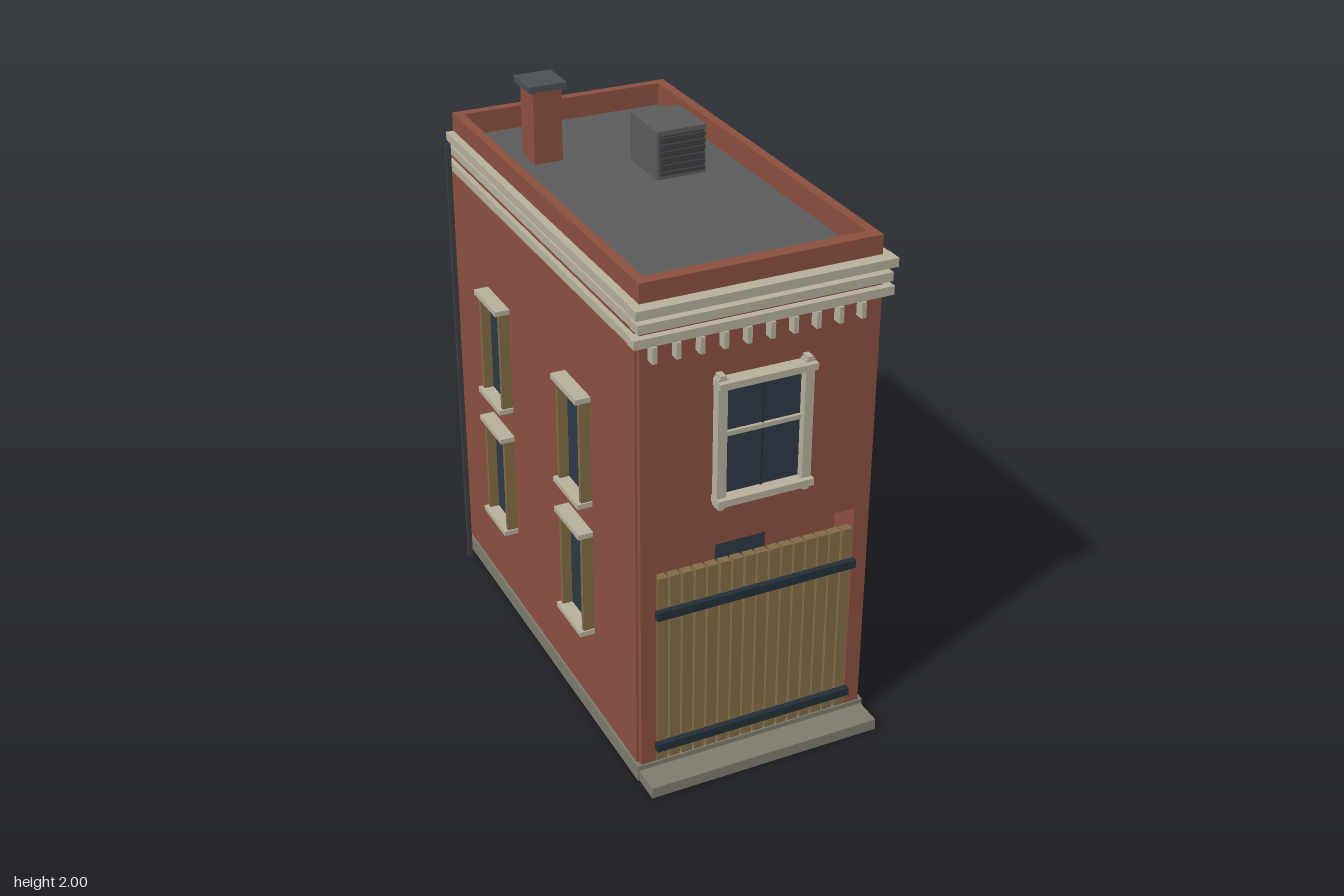
import * as THREE from 'three';

const mat = (name, hex) => {
  const m = new THREE.MeshStandardMaterial({ color: hex });
  m.name = name;
  return m;
};

export function createModel() {
  const brick = mat('brick', 0x8a5040);
  const cream = mat('cream trim', 0xb6b09c);
  const wood = mat('wood', 0x816b46);
  const glass = mat('dark glass', 0x2d3a46);
  const stone = mat('stone', 0x7e7b6e);
  const roofing = mat('roofing', 0x5b5b5b);
  const iron = mat('iron', 0x3b3d40);
  const steel = mat('blue steel', 0x242f39);
  const capGrey = mat('cap grey', 0x4c5053);

  const model = new THREE.Group();
  model.name = 'townhouse';

  // Box given by its lower and upper limits on each axis
  const box = (name, material, x0, x1, y0, y1, z0, z1, parent = model) => {
    const mesh = new THREE.Mesh(new THREE.BoxGeometry(x1 - x0, y1 - y0, z1 - z0), material);
    mesh.position.set((x0 + x1) / 2, (y0 + y1) / 2, (z0 + z1) / 2);
    mesh.name = name;
    parent.add(mesh);
    return mesh;
  };
  const group = (name) => {
    const g = new THREE.Group();
    g.name = name;
    model.add(g);
    return g;
  };
  const rect = (C, x0, x1, y0, y1) => new C([
    new THREE.Vector2(x0, y0), new THREE.Vector2(x1, y0),
    new THREE.Vector2(x1, y1), new THREE.Vector2(x0, y1),
  ]);
  const slab = (name, shape, depth, z) => {
    const geo = new THREE.ExtrudeGeometry(shape, { depth, bevelEnabled: false });
    const mesh = new THREE.Mesh(geo, brick);
    mesh.position.z = z;
    mesh.name = name;
    model.add(mesh);
    return mesh;
  };

  // Base and front step
  box('base', stone, -0.425, 0.425, 0, 0.058, -0.832, 0.735);
  box('frontStep', stone, -0.42, 0.42, 0, 0.04, 0.735, 0.835);

  // Walls
  box('core', brick, -0.405, 0.405, 0.05, 1.71, -0.8, 0.61);
  for (const s of [-1, 1]) {
    const wall = box('sideWall', brick, -0.01, 0.01, 0.05, 1.7, -0.82, 0.71);
    wall.position.x = s * 0.408;
  }

  // Front wall with gate opening
  slab('frontWall', new THREE.Shape([
    [-0.41, 0.05], [-0.355, 0.05], [-0.355, 0.845], [0.355, 0.845],
    [0.355, 0.05], [0.41, 0.05], [0.41, 1.71], [-0.41, 1.71],
  ].map(([x, y]) => new THREE.Vector2(x, y))), 0.12, 0.61);

  // Back wall with recessed windows
  const back = rect(THREE.Shape, -0.418, 0.418, 0.05, 1.7);
  for (const y of [0.38, 0.88]) {
    back.holes.push(rect(THREE.Path, -0.13, 0.13, y, y + 0.38));
    box('backGlass', glass, -0.13, 0.13, y, y + 0.38, -0.808, -0.8);
  }
  slab('backWall', back, 0.03, -0.83);

  // Parapet ring and flat roof
  const ring = rect(THREE.Shape, -0.408, 0.408, -0.725, 0.825);
  ring.holes.push(rect(THREE.Path, -0.375, 0.375, -0.68, 0.79));
  const parapet = slab('parapet', ring, 0.1, 0);
  parapet.rotation.x = -Math.PI / 2;
  parapet.position.y = 1.7;
  box('roof', roofing, -0.376, 0.376, 1.705, 1.72, -0.791, 0.681);

  // Cornice bands wrapping the front and sides
  const cornice = group('cornice');
  for (const [y, out] of [[1.605, 0.755], [1.655, 0.76], [1.705, 0.77]]) {
    const w = y === 1.655 ? 0.426 : 0.436;
    box('frontBand', cream, -w - 0.003, w + 0.003, y, y + 0.03, 0.71, out, cornice);
    box('leftBand', cream, 0.4, w, y, y + 0.03, -0.82, 0.71, cornice);
    box('rightBand', cream, -w, -0.4, y, y + 0.03, -0.82, 0.71, cornice);
  }
  for (let i = 0; i < 10; i++) {
    const x = -0.375 + i * 0.0783;
    box('dentil', cream, x - 0.008, x + 0.008, 1.55, 1.605, 0.725, 0.763, cornice);
  }

  // Upper front window
  const win = group('frontWindow');
  box('glass', glass, -0.135, 0.135, 1.03, 1.425, 0.73, 0.737, win);
  box('mullion', steel, -0.003, 0.003, 1.03, 1.425, 0.737, 0.743, win);
  box('crossbar', cream, -0.135, 0.135, 1.24, 1.256, 0.73, 0.748, win);
  for (const s of [-1, 1]) {
    const x = s * 0.149;
    box('jamb', cream, x - 0.016, x + 0.016, 1.0, 1.45, 0.725, 0.764, win);
    box('jambEnd', cream, x - 0.01, x + 0.01, 0.99, 1.46, 0.725, 0.764, win);
  }
  box('head', cream, -0.168, 0.168, 1.42, 1.443, 0.725, 0.782, win);
  box('sill', cream, -0.168, 0.168, 1.01, 1.034, 0.725, 0.782, win);

  // Side windows, two by two on both sides
  for (const s of [-1, 1]) for (const z of [0.28, -0.41]) for (const y of [0.37, 0.87]) {
    const g = group('sideWindow');
    g.position.set(s * 0.418, y, z);
    g.rotation.y = s * Math.PI / 2;
    box('glass', glass, -0.082, 0.082, 0.01, 0.38, -0.004, 0.004, g);
    for (const t of [-1, 1]) {
      box('jamb', wood, t * 0.088 - 0.008, t * 0.088 + 0.008, 0.01, 0.38, -0.005, 0.038, g);
    }
    box('sill', cream, -0.102, 0.102, -0.008, 0.01, -0.005, 0.053, g);
    box('lintel', cream, -0.102, 0.102, 0.376, 0.394, -0.005, 0.053, g);
  }

  // Plank gate in the recess, with a window behind it
  const gate = group('gate');
  const count = 16, pitch = 0.71 / count;
  for (let i = 0; i < count; i++) {
    const x = -0.355 + i * pitch;
    box('plank', wood, x + 0.004, x + pitch - 0.004, 0.058, 0.77, 0.7, 0.73, gate);
  }
  for (const y of [0.105, 0.625]) {
    box('gateBar', steel, -0.36, 0.36, y, y + 0.03, 0.728, 0.75, gate);
  }
  box('recessGlass', glass, -0.09, 0.09, 0.375, 0.77, 0.61, 0.615, gate);

  // Drainpipes near the back corners
  for (const s of [-1, 1]) {
    box('drainpipe', iron, s * 0.45 - 0.008, s * 0.45 + 0.008, 0, 1.71, -0.777, -0.76);
  }

  // Chimney
  box('chimney', brick, -0.258, -0.155, 1.71, 1.98, -0.545, -0.433);
  box('chimneyCap', capGrey, -0.275, -0.14, 1.978, 2.0, -0.56, -0.42);

  // Roof vent unit with louvres
  const unit = group('ventUnit');
  box('housing', roofing, 0.055, 0.235, 1.715, 1.89, -0.338, -0.13, unit);
  box('grille', iron, 0.065, 0.225, 1.735, 1.875, -0.13, -0.124, unit);
  for (let i = 0; i < 6; i++) {
    const y = 1.738 + i * 0.024;
    box('louvre', iron, 0.065, 0.225, y, y + 0.012, -0.126, -0.114, unit);
  }

  return model;
}
